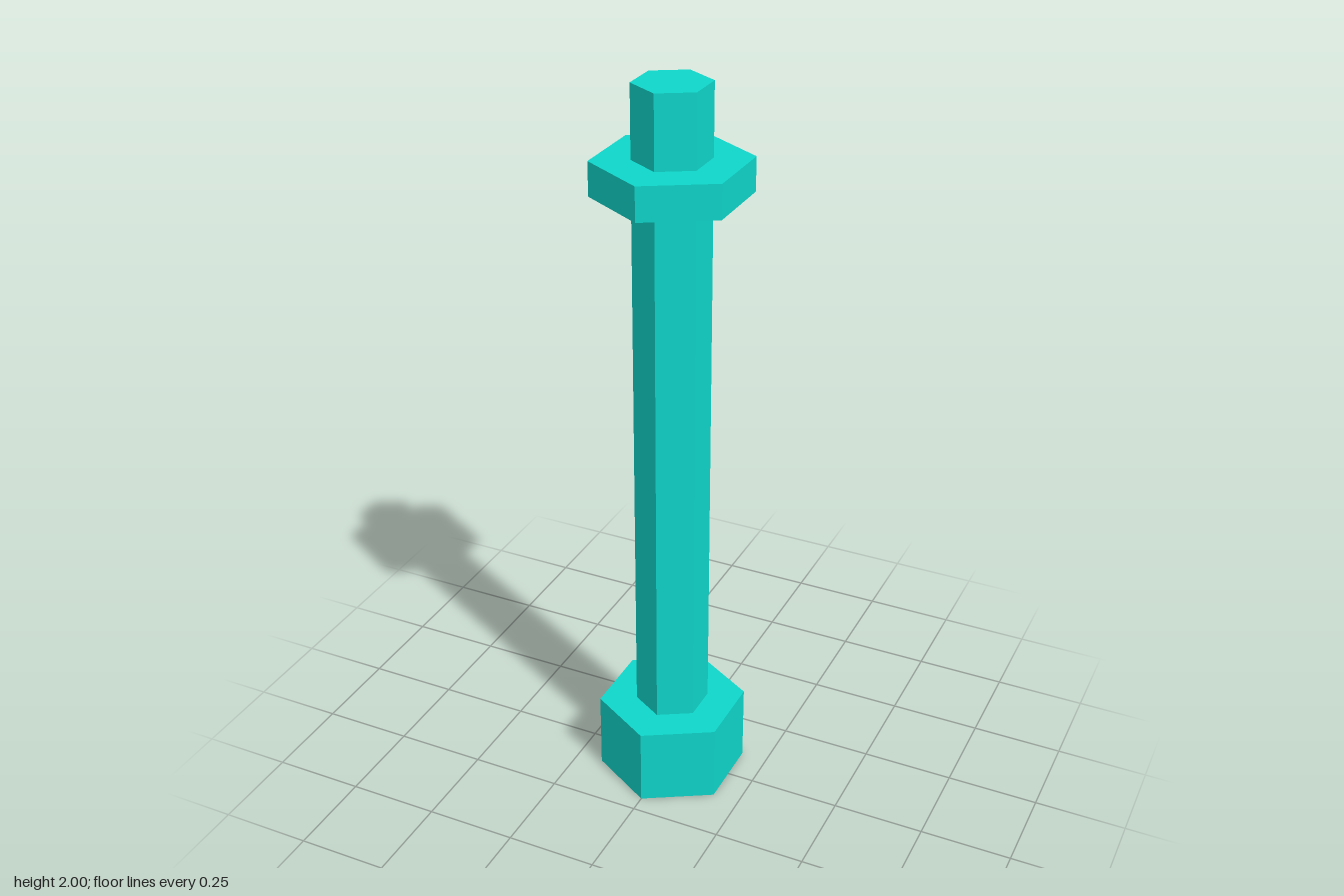
import * as THREE from 'three';

// Six-sided solid turned from a profile of [radius, height] points
function hexTurned(name, profile, material) {
  const points = profile.map(([r, y]) => new THREE.Vector2(r, y));
  const mesh = new THREE.Mesh(new THREE.LatheGeometry(points, 6), material);
  mesh.name = name;
  return mesh;
}

export function createModel() {
  const teal = new THREE.MeshStandardMaterial({ color: 0x0fd6ca });
  teal.name = 'teal';
  teal.flatShading = true;

  const bolt = new THREE.Group();
  bolt.name = 'bolt';

  // Head with a hexagonal socket in its underside
  bolt.add(hexTurned('head', [
    [0, 0.15], [0.12, 0.15], [0.12, 0], [0.203, 0], [0.203, 0.22], [0.1, 0.22],
  ], teal));

  // Shank rising from the head
  bolt.add(hexTurned('shank', [[0.1, 0.22], [0.1, 2], [0, 2]], teal));

  // Nut near the free end, fitted around the shank
  bolt.add(hexTurned('nut', [[0.1, 1.72], [0.203, 1.72], [0.203, 1.81], [0.1, 1.81]], teal));

  return bolt;
}
